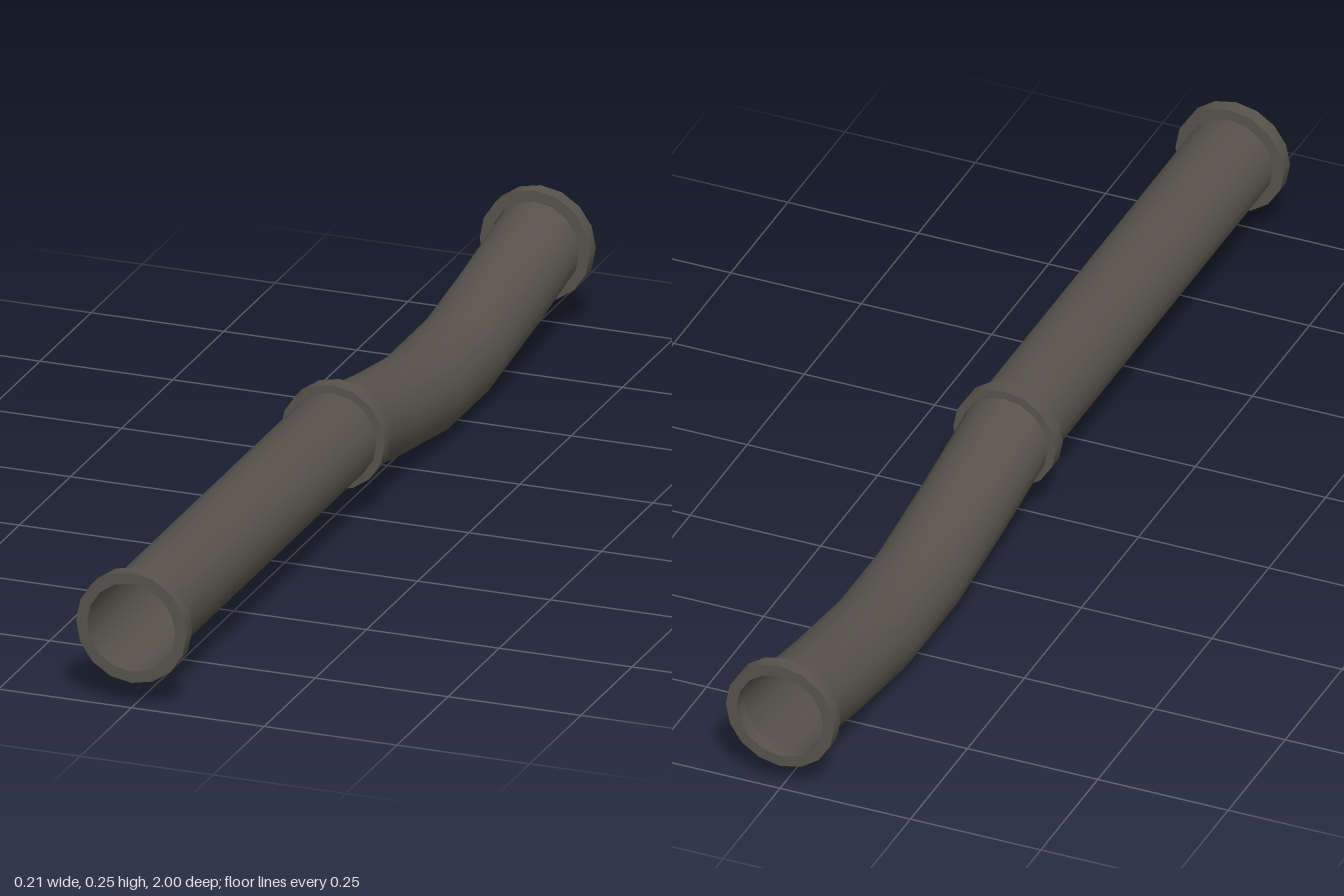
import * as THREE from 'three';
import { toCreasedNormals } from 'three/addons/utils/BufferGeometryUtils.js';

const SIDES = 16, PIPE_R = 0.083, AXIS_Y = 0.151;

export function createModel() {
  const group = new THREE.Group();
  const iron = new THREE.MeshStandardMaterial({ color: 0x57534b, side: THREE.DoubleSide });
  iron.name = 'dark iron';

  const add = (name, geometry) => {
    const mesh = new THREE.Mesh(toCreasedNormals(geometry, 0.7), iron);
    mesh.name = name;
    mesh.position.y = AXIS_Y;
    group.add(mesh);
  };

  // Open tube along z; drops lower the successive rings, listed front to back
  const pipe = (name, zFront, zBack, drops) => {
    const steps = drops.length - 1, length = zFront - zBack;
    const g = new THREE.CylinderGeometry(PIPE_R, PIPE_R, length, SIDES, steps, true);
    g.rotateX(Math.PI / 2).translate(0, 0, (zFront + zBack) / 2);
    const p = g.attributes.position;
    for (let i = 0; i < p.count; i++) {
      const ring = Math.round((zFront - p.getZ(i)) / length * steps);
      p.setY(i, p.getY(i) - drops[ring]);
    }
    add(name, g);
  };

  // Hollow ring with a square section
  const collar = (name, zBack, zFront, radius) => {
    const profile = [
      [PIPE_R, zBack], [radius, zBack], [radius, zFront], [PIPE_R, zFront], [PIPE_R, zBack],
    ].map(([r, z]) => new THREE.Vector2(r, z));
    add(name, new THREE.LatheGeometry(profile, SIDES).rotateX(Math.PI / 2));
  };

  pipe('straightPipe', 0.99, 0, [0, 0]);
  pipe('saggingPipe', 0, -0.99, [0, 0.038, 0.068, 0.068, 0.038, 0]);
  collar('frontFlange', 0.972, 1, 0.104);
  collar('middleCollar', -0.016, 0.017, 0.098);
  collar('backFlange', -1, -0.972, 0.104);
  return group;
}
